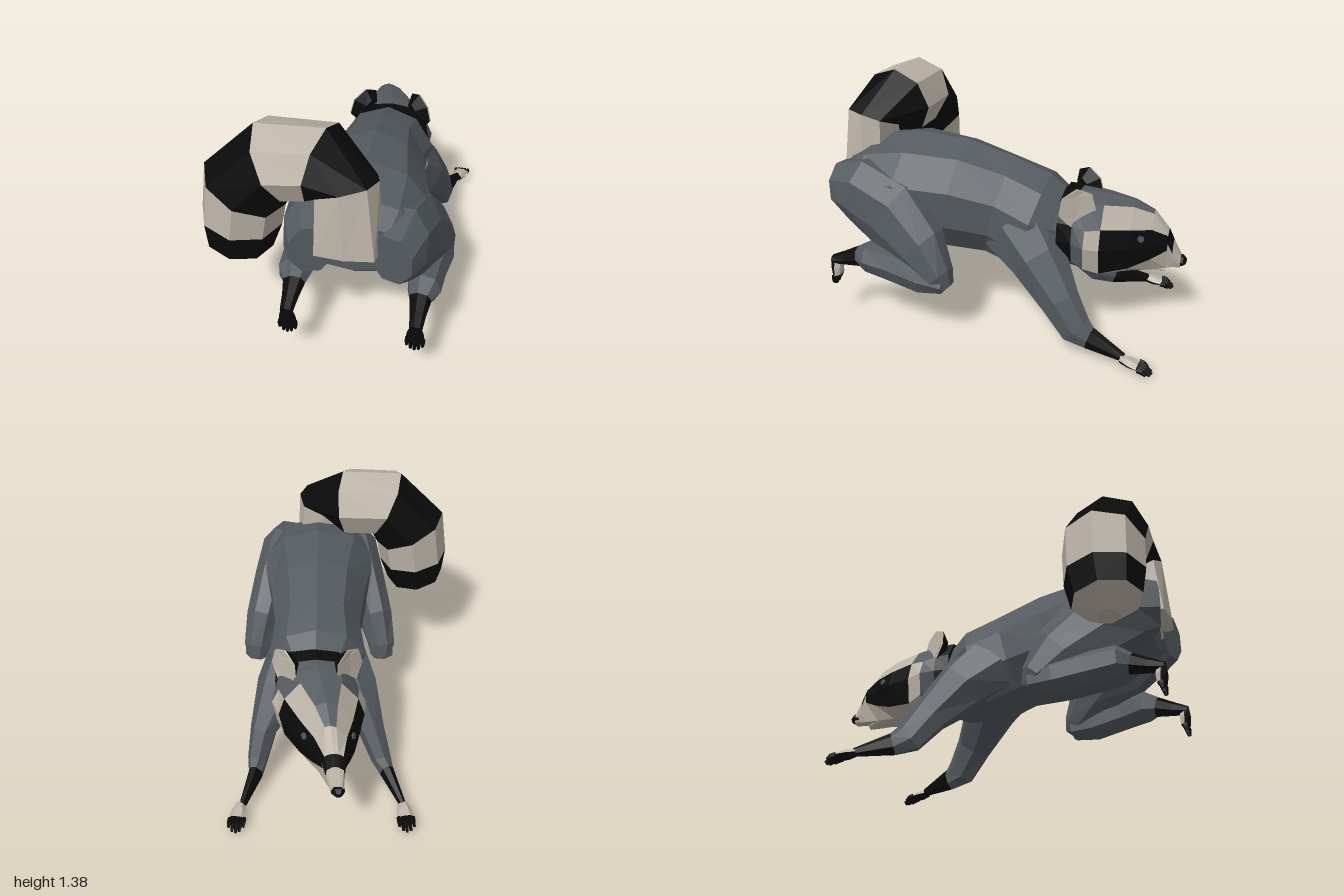
import * as THREE from 'three';

const V = (x, y, z) => new THREE.Vector3(x, y, z);
const AXIS = 0.16; // body mirror line in x

export function createModel() {
  const model = new THREE.Group();
  const paint = (name, color) => {
    const m = new THREE.MeshStandardMaterial({ color });
    m.name = name;
    return m;
  };
  const grey = paint('greyFur', 0x555b60);
  const black = paint('blackFur', 0x0a0a0a);
  const light = paint('lightFur', 0xbdb4a8);
  const eyeGrey = paint('eyeGrey', 0x505256);

  // Skin a list of rings; pick(k, j) gives the material of each face (k = -1 start cap, k = last end cap)
  function loft(name, rings, pick) {
    const faces = new Map();
    const tri = (m, ...pts) => {
      if (!faces.has(m)) faces.set(m, []);
      pts.forEach((p) => faces.get(m).push(p.x, p.y, p.z));
    };
    const n = rings[0].length, last = rings.length - 1;
    for (let k = 0; k < last; k++) for (let j = 0; j < n; j++) {
      const i = (j + 1) % n, m = pick(k, j);
      const a = rings[k][j], b = rings[k][i], c = rings[k + 1][i], d = rings[k + 1][j];
      tri(m, a, b, c);
      tri(m, a, c, d);
    }
    for (let j = 1; j < n - 1; j++) {
      tri(pick(-1, j), rings[0][0], rings[0][j + 1], rings[0][j]);
      tri(pick(last, j), rings[last][0], rings[last][j], rings[last][j + 1]);
    }
    const part = new THREE.Group();
    part.name = name;
    faces.forEach((list, m) => {
      const g = new THREE.BufferGeometry();
      g.setAttribute('position', new THREE.Float32BufferAttribute(list, 3));
      g.computeVertexNormals();
      const mesh = new THREE.Mesh(g, m);
      mesh.name = name + '_' + m.name;
      part.add(mesh);
    });
    model.add(part);
  }

  // Faceted tube along stations [x, y, z, ru, rv, boxiness]; ru runs along the ref axis, boxiness below 1 squares it
  function limb(name, st, n, pick, ref = V(1, 0, 0), turn = 0) {
    const pts = st.map((s) => V(s[0], s[1], s[2]));
    const rings = st.map(([, , , ru, rv, box = 1], k) => {
      const t = pts[Math.min(k + 1, pts.length - 1)].clone().sub(pts[Math.max(k - 1, 0)]).normalize();
      const u = ref.clone().addScaledVector(t, -ref.dot(t)).normalize();
      const v = t.clone().cross(u);
      const bend = (c) => Math.sign(c) * Math.abs(c) ** box;
      return Array.from({ length: n }, (_, j) => {
        const a = ((j + turn) / n) * Math.PI * 2;
        return pts[k].clone().addScaledVector(u, bend(Math.cos(a)) * ru).addScaledVector(v, bend(Math.sin(a)) * rv);
      });
    });
    loft(name, rings, pick);
  }

  // Torso, rump to neck
  limb('body', [
    [AXIS, 0.80, 0.91, 0.31, 0.16], [AXIS, 0.805, 0.82, 0.36, 0.23],
    [AXIS, 0.775, 0.6, 0.37, 0.315], [AXIS, 0.735, 0.3, 0.3, 0.335],
    [AXIS, 0.69, 0.05, 0.26, 0.305], [AXIS, 0.62, -0.15, 0.29, 0.30],
    [AXIS, 0.59, -0.29, 0.22, 0.25], [AXIS, 0.59, -0.42, 0.16, 0.18],
  ], 10, () => grey, V(1, 0, 0), 0.5);

  // Ringed tail curling over to one side
  const bands = [light, black, light, black, light, black, light, light];
  limb('tail', [
    [0.13, 0.78, 0.87, 0.13, 0.175, 0.4], [0.12, 1.13, 0.85, 0.13, 0.17, 0.7],
    [-0.02, 1.19, 0.755, 0.22, 0.2], [-0.26, 1.18, 0.755, 0.225, 0.215],
    [-0.42, 1.0, 0.755, 0.228, 0.23], [-0.45, 0.8, 0.76, 0.222, 0.215],
    [-0.47, 0.645, 0.77, 0.19, 0.18], [-0.49, 0.545, 0.78, 0.06, 0.06],
  ], 8, (k) => bands[Math.max(k, 0)], V(0, 0, 1));

  // Palm and five toes, light on the upper side
  function paw(name, a, b, toe, w, depth) {
    limb(name, [[...a, w * 0.45, depth * 0.8], [...a.map((p, i) => (p + b[i]) / 2), w * 0.85, depth], [...b, w, depth * 0.8]],
      6, (k, j) => (j >= 3 && (k === 0 || k === 1) ? light : black));
    for (let i = -2; i <= 2; i++) {
      const f = 1 - 0.09 * i * i, x = b[0] + i * w * 0.42;
      const end = [x + toe[0], b[1] + toe[1] * f, b[2] + toe[2] * f];
      limb(name + 'Toe', [[x, b[1], b[2], 0.012, 0.018],
        [x + toe[0] / 2, (b[1] + end[1]) / 2 + 0.006, (b[2] + end[2]) / 2, 0.012, 0.018],
        [...end, 0.008, 0.01]], 5, () => black);
    }
  }

  for (const s of [1, -1]) {
    const side = s > 0 ? 'left' : 'right';
    const X = (d, shift = 0) => AXIS + s * d + shift;

    // Front leg reaching forward
    limb(side + 'FrontLeg', [
      [X(0.13), 0.64, -0.06, 0.15, 0.23], [X(0.21), 0.48, -0.22, 0.15, 0.17],
      [X(0.315), 0.29, -0.37, 0.08, 0.12], [X(0.36, -0.01), 0.15, -0.47, 0.06, 0.1],
      [X(0.38, -0.02), 0.115, -0.55, 0.042, 0.07], [X(0.45, -0.03), 0.068, -0.75, 0.02, 0.026],
    ], 7, (k) => (k >= 4 ? black : grey));
    paw(side + 'FrontPaw', [X(0.455, -0.025), 0.066, -0.735], [X(0.47, -0.025), 0.05, -0.835],
      [s * 0.006, -0.036, -0.075], 0.048, 0.028);

    // Hip and thigh, shank and foot
    limb(side + 'Thigh', [
      [X(0.2), 0.79, 0.955, 0.12, 0.15], [X(0.24), 0.79, 0.82, 0.14, 0.21],
      [X(0.29), 0.69, 0.61, 0.13, 0.23], [X(0.36), 0.53, 0.42, 0.11, 0.17],
      [X(0.40), 0.39, 0.3, 0.085, 0.09], [X(0.40), 0.33, 0.26, 0.05, 0.045],
    ], 8, () => grey, V(1, 0, 0), 0.5);
    limb(side + 'Shank', [
      [X(0.40), 0.35, 0.27, 0.075, 0.06], [X(0.395), 0.37, 0.4, 0.09, 0.1],
      [X(0.37), 0.405, 0.6, 0.085, 0.1], [X(0.35), 0.425, 0.74, 0.095, 0.095],
      [X(0.34), 0.41, 0.81, 0.062, 0.06], [X(0.34), 0.385, 0.9, 0.045, 0.042], [X(0.34), 0.365, 0.985, 0.036, 0.025],
    ], 7, (k) => (k >= 4 ? black : grey));
    paw(side + 'HindPaw', [X(0.34), 0.375, 0.968], [X(0.34), 0.275, 0.965], [0, -0.065, 0.014], 0.05, 0.034);
  }

  // Head: half sections from crown to chin, [z, [dx, y] x 7]
  const headX = (z) => 0.17 + 0.2 * (z + 0.35);
  const sections = [
    [-0.32, 0, 0.84, 0.14, 0.82, 0.21, 0.72, 0.22, 0.62, 0.2, 0.52, 0.12, 0.44, 0, 0.42],
    [-0.40, 0, 0.83, 0.14, 0.81, 0.21, 0.71, 0.23, 0.61, 0.21, 0.49, 0.12, 0.42, 0, 0.40],
    [-0.47, 0, 0.83, 0.13, 0.80, 0.22, 0.68, 0.26, 0.59, 0.24, 0.46, 0.13, 0.40, 0, 0.39],
    [-0.55, 0, 0.815, 0.11, 0.79, 0.2, 0.68, 0.235, 0.57, 0.21, 0.42, 0.11, 0.39, 0, 0.385],
    [-0.70, 0, 0.785, 0.06, 0.765, 0.14, 0.66, 0.175, 0.56, 0.15, 0.43, 0.08, 0.38, 0, 0.375],
    [-0.81, 0, 0.725, 0.03, 0.715, 0.085, 0.64, 0.11, 0.55, 0.10, 0.465, 0.06, 0.38, 0, 0.37],
    [-0.895, 0, 0.61, 0.025, 0.605, 0.05, 0.59, 0.065, 0.55, 0.06, 0.505, 0.04, 0.385, 0, 0.38],
    [-0.925, 0, 0.545, 0.02, 0.54, 0.045, 0.52, 0.05, 0.48, 0.045, 0.44, 0.03, 0.385, 0, 0.38],
    [-0.97, 0, 0.45, 0.02, 0.45, 0.03, 0.435, 0.035, 0.41, 0.03, 0.39, 0.02, 0.38, 0, 0.375],
  ];
  const headRings = sections.map(([z, ...p]) => {
    const ring = [];
    for (let i = 0; i < 7; i++) ring.push(V(headX(z) + p[2 * i], p[2 * i + 1], z));
    for (let i = 5; i > 0; i--) ring.push(V(headX(z) - p[2 * i], p[2 * i + 1], z));
    return ring;
  });
  // One letter per strip from crown to chin: g grey, l light, b black
  const fur = { g: grey, l: light, b: black };
  const headPaint = ['bbbbgg', 'gggggg', 'ggllll', 'glbbll', 'glbbll', 'llbbll', 'bbblll', 'llllll'];
  loft('head', headRings, (k, j) => (k < 0 ? black : k > 7 ? light : fur[headPaint[k][j < 6 ? j : 11 - j]]));

  // Lower jaw and nose
  limb('lowerJaw', [[0.09, 0.395, -0.72, 0.08, 0.025], [0.07, 0.375, -0.82, 0.05, 0.02],
    [0.06, 0.36, -0.885, 0.022, 0.013]], 6, () => light);
  limb('nose', [[0.045, 0.415, -0.95, 0.036, 0.034], [0.04, 0.415, -0.98, 0.037, 0.033],
    [0.038, 0.41, -1.0, 0.02, 0.018]], 6, () => black);

  for (const s of [1, -1]) {
    const side = s > 0 ? 'left' : 'right';
    // Cupped ear, black behind and light inside
    const c = V(0.155 + s * 0.175, 0.795, -0.42), n = V(s * 0.78, 0.12, -0.6).normalize();
    const at = (d, ru, rv) => [...c.clone().addScaledVector(n, d).toArray(), ru, rv];
    limb(side + 'Ear', [at(-0.06, 0.06, 0.055), at(0, 0.11, 0.115), at(0.01, 0.105, 0.11), at(-0.015, 0.05, 0.05)],
      7, (k) => (k < 1 ? black : light), V(0, 1, 0));

    // Eye plate lying on the mask
    const [a, b, d, e] = [[4, 2], [4, 3], [5, 3], [5, 2]].map(([k, i]) => headRings[k][s > 0 ? i : 12 - i]);
    const out = b.clone().sub(e).cross(d.clone().sub(a)).multiplyScalar(s).normalize();
    const eye = new THREE.Mesh(new THREE.CylinderGeometry(0.02, 0.02, 0.009, 6), eyeGrey);
    eye.name = side + 'Eye';
    eye.position.copy(a).add(b).add(d).add(e).multiplyScalar(0.25).addScaledVector(out, 0.004);
    eye.quaternion.setFromUnitVectors(V(0, 1, 0), out);
    model.add(eye);
  }
  return model;
}
